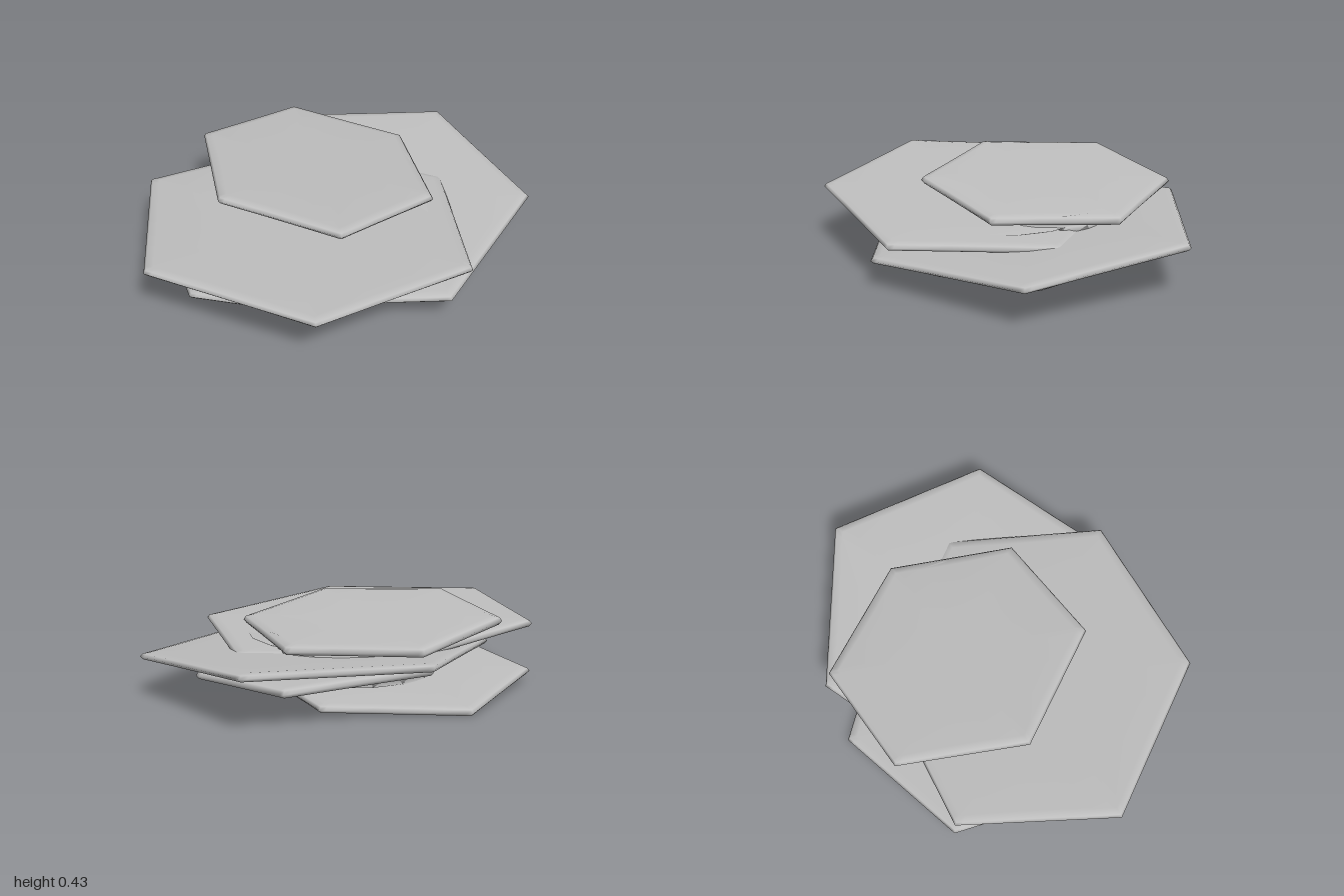
import * as THREE from 'three';

const stone = new THREE.MeshStandardMaterial({ color: 0xbfbfbf });
stone.name = 'grey stone';

// Edge profile of a slab: [inset from outline, height as a fraction of thickness below the top]
const EDGE = [[0.3, -1], [0.06, -1], [0.015, -0.86], [0, -0.5], [0.012, -0.16], [0.05, 0], [0.3, 0]];

// Outline with each corner slightly rounded and each side subdivided
function outline(corners) {
  const pts = [];
  corners.forEach(([x, z], i) => {
    const [nx, nz] = corners[(i + 1) % corners.length];
    for (const t of [0, 0.04, 0.35, 0.65, 0.96]) {
      pts.push([x + (nx - x) * t, z + (nz - z) * t]);
    }
  });
  return pts;
}

// Closed solid from stacked loops of [x, y, z] points (bottom to top)
function loft(rings, name) {
  const n = rings[0].length, pos = [], idx = [];
  rings.forEach(r => r.forEach(p => pos.push(...p)));
  for (let k = 0; k < rings.length - 1; k++) {
    for (let i = 0; i < n; i++) {
      const j = (i + 1) % n;
      const a = k * n + i, b = k * n + j, c = a + n, d = b + n;
      idx.push(a, c, b, b, c, d);
    }
  }
  // Caps as fans around the mean point
  [0, rings.length - 1].forEach(k => {
    const mean = [0, 1, 2].map(e => rings[k].reduce((s, p) => s + p[e], 0) / n);
    const m = pos.length / 3;
    pos.push(...mean);
    for (let i = 0; i < n; i++) {
      const a = k * n + i, b = k * n + (i + 1) % n;
      if (k === 0) idx.push(m, a, b); else idx.push(m, b, a);
    }
  });
  const g = new THREE.BufferGeometry();
  g.setAttribute('position', new THREE.Float32BufferAttribute(pos, 3));
  g.setIndex(idx);
  g.computeVertexNormals();
  const mesh = new THREE.Mesh(g, stone);
  mesh.name = name;
  return mesh;
}

// Tilted slab whose top lies on y = a + b x + c z; corners run clockwise seen from above
function slab({ name, corners, plane: [a, b, c], thick }) {
  const pts = outline(corners);
  const cx = corners.reduce((s, p) => s + p[0], 0) / corners.length;
  const cz = corners.reduce((s, p) => s + p[1], 0) / corners.length;
  const rings = EDGE.map(([inset, h]) => pts.map(([px, pz]) => {
    const f = 1 - inset / Math.hypot(px - cx, pz - cz);
    const x = cx + (px - cx) * f, z = cz + (pz - cz) * f;
    return [x, a + b * x + c * z + h * thick, z];
  }));
  return loft(rings, name);
}

const SLABS = [
  { name: 'bottomSlab', thick: 0.042, plane: [0.09, -0.015, 0.06],
    corners: [[-0.31, -0.84], [0.32, -0.55], [0.41, 0.18], [-0.17, 0.64], [-0.8, 0.33], [-0.88, -0.39]] },
  { name: 'smallInnerSlab', thick: 0.05, plane: [0.145, -0.01, -0.01],
    corners: [[-0.3, -0.47], [0.49, -0.55], [0.75, -0.04], [0.5, 0.4], [-0.2, 0.5], [-0.48, 0.08]] },
  { name: 'wideRightSlab', thick: 0.04, plane: [0.214, 0.016, -0.08],
    corners: [[-0.09, -0.89], [0.75, -0.73], [0.99, 0.07], [0.38, 0.69], [-0.46, 0.53], [-0.7, -0.27]] },
  { name: 'wideLeftSlab', thick: 0.042, plane: [0.28, -0.058, 0.03],
    corners: [[-0.89, -0.38], [-0.09, -0.62], [0.59, -0.17], [0.5, 0.62], [-0.31, 0.89], [-1, 0.39]] },
  { name: 'topSlab', thick: 0.05, plane: [0.385, -0.085, 0.043],
    corners: [[-0.58, -0.61], [-0.05, -0.86], [0.46, -0.48], [0.45, 0.14], [-0.08, 0.41], [-0.6, 0.03]] },
];

// Joining cores between the slabs: [name, centre x, centre z, radius, bottom y, top y]
const CORES = [
  ['lowerCore', -0.08, 0.02, 0.4, 0.07, 0.2],
  ['middleCore', -0.02, 0.0, 0.42, 0.17, 0.26],
  ['upperCore', 0.03, -0.22, 0.36, 0.22, 0.335],
];

export function createModel() {
  const group = new THREE.Group();
  group.name = 'slabStack';
  SLABS.forEach(s => group.add(slab(s)));
  CORES.forEach(([name, cx, cz, r, y0, y1]) => {
    // Waisted column, flaring where it meets the slabs
    const rings = [[1.12, 0], [0.98, 0.35], [0.98, 0.65], [1.12, 1]].map(([f, t]) =>
      Array.from({ length: 18 }, (_, i) => {
        const a = i / 18 * Math.PI * 2;
        return [cx + Math.cos(a) * r * f, y0 + (y1 - y0) * t, cz + Math.sin(a) * r * f];
      }));
    group.add(loft(rings, name));
  });
  return group;
}
